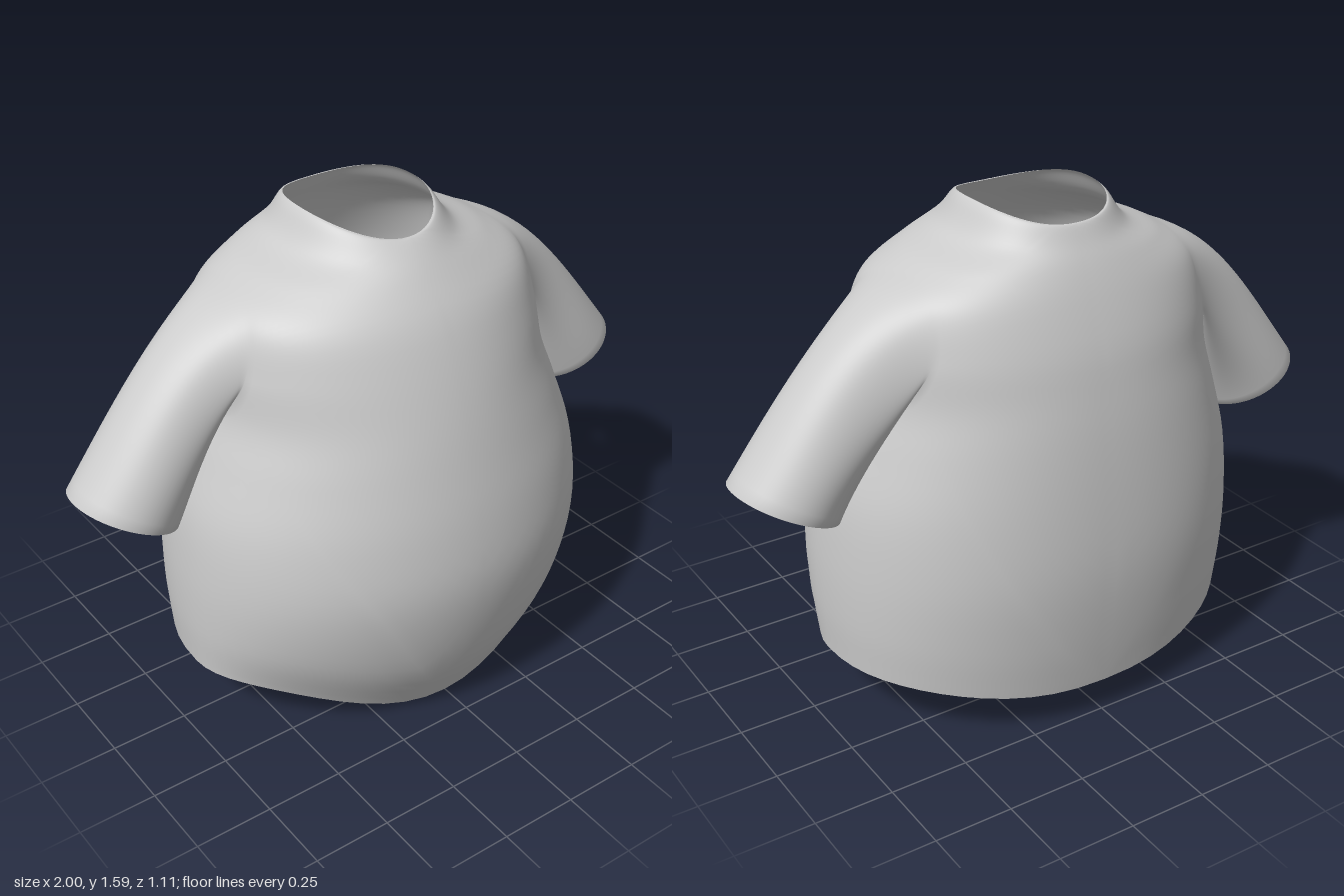
import * as THREE from 'three';
import { mergeVertices } from 'three/addons/utils/BufferGeometryUtils.js';

const V = (x, y, z) => new THREE.Vector3(x, y, z);
const curve = (pts) => new THREE.CatmullRomCurve3(pts.map((p) => V(...p)), false, 'catmullrom', 0.5);

// Hem-to-neck profiles of the body: side, front centre and back centre
const side = curve([
  [0.69, 0.2, 0], [0.7, 0.36, 0], [0.697, 0.55, 0], [0.675, 0.75, -0.01], [0.62, 0.93, -0.03], [0.575, 1.07, -0.05],
  [0.56, 1.22, -0.06], [0.52, 1.36, -0.07], [0.4, 1.44, -0.08], [0.275, 1.495, -0.08], [0.215, 1.575, -0.08], [0.2, 1.59, -0.08],
]);
const front = curve([
  [0, 0, 0.39], [0, 0.22, 0.5], [0, 0.5, 0.557], [0, 0.72, 0.54], [0, 0.92, 0.495], [0, 1.08, 0.45],
  [0, 1.22, 0.4], [0, 1.34, 0.345], [0, 1.43, 0.28], [0, 1.49, 0.23], [0, 1.535, 0.185], [0, 1.54, 0.17],
]);
const back = curve([
  [0, 0.12, -0.515], [0, 0.3, -0.54], [0, 0.52, -0.557], [0, 0.74, -0.547], [0, 0.95, -0.525], [0, 1.1, -0.5],
  [0, 1.22, -0.475], [0, 1.35, -0.43], [0, 1.44, -0.39], [0, 1.5, -0.355], [0, 1.545, -0.33], [0, 1.55, -0.32],
]);

// Body surface: u runs from front centre (0) to back centre (PI), v from hem to neck
function bodyPoint(u, v) {
  const s = Math.max(0, Math.sin(u)), c = Math.cos(u), k = Math.abs(c);
  const a = side.getPoint(v), b = (c > 0 ? front : back).getPoint(v);
  const p = c > 0 ? 1 : 0.88;
  return V(
    a.x * s ** p,
    a.y + (b.y - a.y) * k ** (4 - 2 * v),
    a.z + (b.z - a.z) * k ** p,
  );
}

// Armhole ellipse in (u, v)
const HOLE = { u: 1.69, v: 0.575, du: 0.5, dv: 0.118 };
const holePoint = (t) => [HOLE.u - HOLE.du * Math.cos(t), HOLE.v + HOLE.dv * Math.sin(t)];

// Cuff circle at the sleeve's end
const CUFF = V(0.845, 0.805, -0.09), CUFF_UP = V(0.9, 0.436, 0), CUFF_AXIS = V(0.436, -0.9, 0), CUFF_R = 0.172;
const cuffPoint = (t, r) => CUFF.clone().addScaledVector(CUFF_UP, r * Math.sin(t)).add(V(0, 0, r * Math.cos(t)));

// Sleeve: a smooth sweep from the armhole edge to the cuff
function sleevePoint(t, f) {
  const p0 = bodyPoint(...holePoint(t)), p1 = cuffPoint(t, CUFF_R);
  const up = (Math.sin(t) + 1) / 2, len = p0.distanceTo(p1);
  const m0 = V(0.35 + 0.58 * up, -0.94 + 0.6 * up, -0.3 * Math.cos(t)).normalize().multiplyScalar(len);
  const m1 = CUFF_AXIS.clone().lerp(V(0.62, -0.78, 0), up).multiplyScalar(len);
  const f2 = f * f, f3 = f2 * f;
  return p0.multiplyScalar(2 * f3 - 3 * f2 + 1)
    .addScaledVector(m0, f3 - 2 * f2 + f)
    .addScaledVector(p1, 3 * f2 - 2 * f3)
    .addScaledVector(m1, f3 - f2);
}

// Rays from the border of one half of the body in to its armhole
const PER_SIDE = 28, RAYS = PER_SIDE * 4, BODY = 26, SLEEVE = 18;
function border(i) {
  const f = (i % PER_SIDE) / PER_SIDE;
  return [[Math.PI * f, 0], [Math.PI, f], [Math.PI * (1 - f), 1], [0, 1 - f]][Math.floor(i / PER_SIDE)];
}

function halfPoints() {
  const pts = [];
  for (let i = 0; i < RAYS; i++) {
    const [u, v] = border(i);
    const t = Math.atan2((v - HOLE.v) * 2, (HOLE.u - u) / (Math.PI / 2));
    const [hu, hv] = holePoint(t);
    for (let j = 0; j <= BODY; j++) {
      const f = j / BODY;
      pts.push(bodyPoint(u + (hu - u) * f, v + (hv - v) * f));
    }
    for (let j = 1; j <= SLEEVE; j++) pts.push(sleevePoint(t, j / SLEEVE));
    // turned-in cuff edge
    pts.push(cuffPoint(t, CUFF_R - 0.008).addScaledVector(CUFF_AXIS, 0.003));
    pts.push(cuffPoint(t, CUFF_R - 0.013).addScaledVector(CUFF_AXIS, -0.004));
  }
  return pts;
}

export function createModel() {
  const half = halfPoints(), rows = BODY + SLEEVE + 3;
  const positions = [], index = [], counts = [];
  for (const m of [1, -1]) for (const p of half) positions.push(m * p.x, p.y, p.z);

  // Quads of one half between two rows; the mirrored half is wound the other way
  const addQuads = (mirrored, from, to) => {
    const at = (i, j) => (mirrored ? half.length : 0) + (i % RAYS) * rows + j;
    for (let i = 0; i < RAYS; i++) {
      for (let j = from; j < to; j++) {
        const a = at(i, j), b = at(i + 1, j), c = at(i + 1, j + 1), d = at(i, j + 1);
        if (mirrored) index.push(a, c, b, a, d, c);
        else index.push(a, b, c, a, c, d);
      }
    }
  };
  addQuads(false, 0, BODY);
  addQuads(true, 0, BODY);
  counts.push(index.length);
  addQuads(false, BODY, rows - 1);
  counts.push(index.length);
  addQuads(true, BODY, rows - 1);
  counts.push(index.length);

  // Weld the centre line so normals run smoothly across the whole garment
  let whole = new THREE.BufferGeometry();
  whole.setAttribute('position', new THREE.Float32BufferAttribute(positions, 3));
  whole.setIndex(index);
  whole = mergeVertices(whole, 1e-4);
  whole.computeVertexNormals();

  // Parts share the welded vertices
  const material = new THREE.MeshStandardMaterial({ color: 0xcccccc, side: THREE.DoubleSide });
  const group = new THREE.Group();
  group.name = 'shirt';
  const all = Array.from(whole.index.array);
  ['body', 'leftSleeve', 'rightSleeve'].forEach((name, n) => {
    const part = new THREE.BufferGeometry();
    part.setAttribute('position', whole.attributes.position);
    part.setAttribute('normal', whole.attributes.normal);
    part.setIndex(all.slice(n ? counts[n - 1] : 0, counts[n]));
    const mesh = new THREE.Mesh(part, material);
    mesh.name = name;
    group.add(mesh);
  });
  return group;
}
